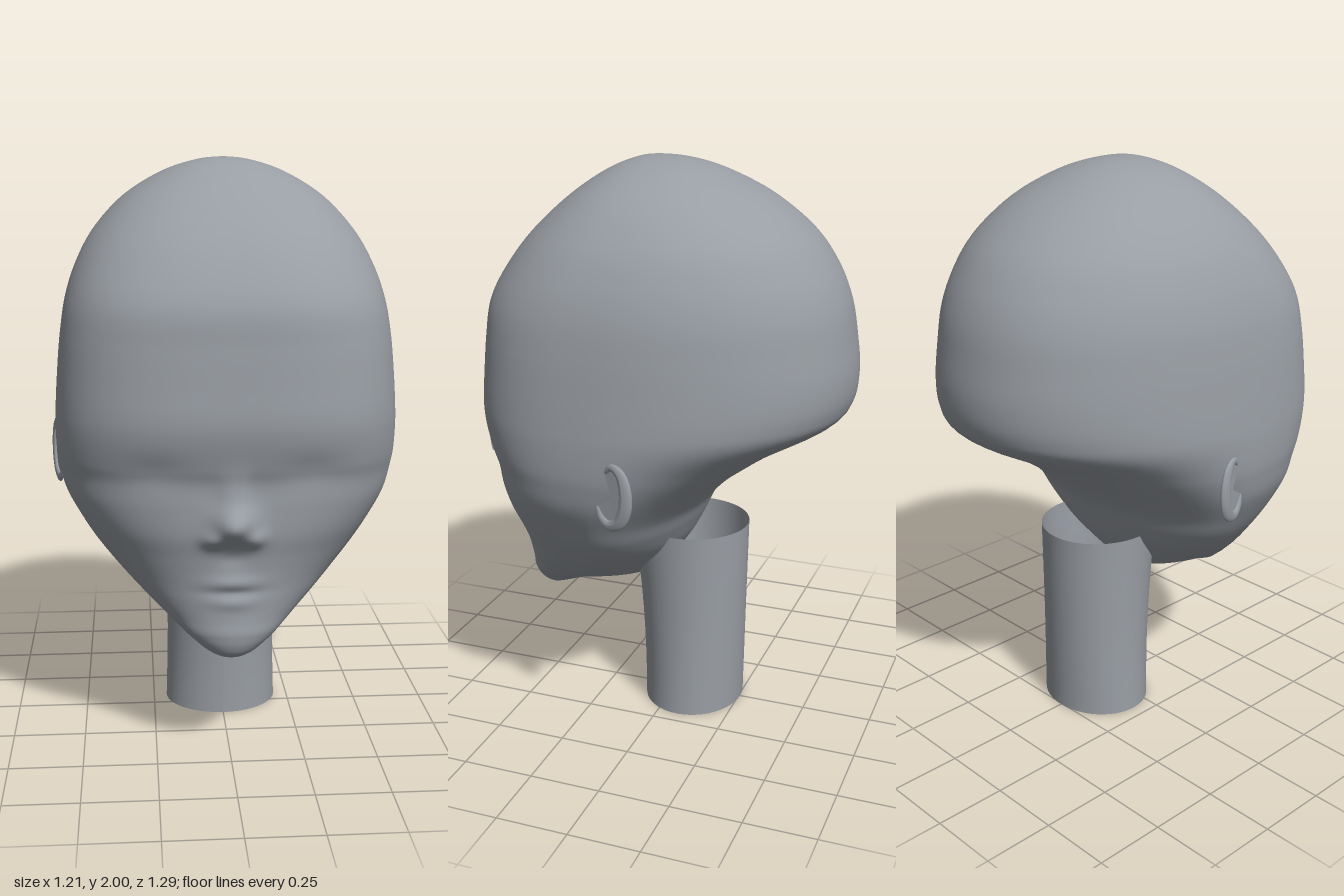
import * as THREE from 'three';

const clay = new THREE.MeshStandardMaterial({ color: 0x999ea4, side: THREE.DoubleSide });
clay.name = 'clay grey';

// Horizontal head sections: y, half width, front z, back z, z of the widest point
const SECTIONS = [
  [2.0, 0, 0.07, 0.07, 0.07], [1.99, 0.09, 0.14, -0.05, 0.06], [1.95, 0.21, 0.235, -0.18, 0.05],
  [1.87, 0.34, 0.35, -0.34, 0.05], [1.76, 0.442, 0.465, -0.48, 0.06], [1.65, 0.502, 0.545, -0.56, 0.08],
  [1.54, 0.538, 0.597, -0.607, 0.1], [1.42, 0.557, 0.61, -0.63, 0.12], [1.3, 0.568, 0.619, -0.643, 0.13],
  [1.2, 0.575, 0.625, -0.63, 0.13], [1.13, 0.578, 0.618, -0.58, 0.13], [1.04, 0.576, 0.595, -0.42, 0.13],
  [0.98, 0.568, 0.577, -0.33, 0.13], [0.9, 0.547, 0.575, -0.225, 0.14], [0.81, 0.5, 0.572, -0.14, 0.15],
  [0.73, 0.45, 0.558, -0.1, 0.16], [0.65, 0.383, 0.55, -0.06, 0.2], [0.58, 0.307, 0.55, -0.01, 0.28],
  [0.515, 0.228, 0.553, 0.05, 0.36], [0.48, 0.183, 0.557, 0.1, 0.41], [0.46, 0.16, 0.556, 0.22, 0.43],
  [0.43, 0.123, 0.55, 0.31, 0.45], [0.4, 0.085, 0.535, 0.4, 0.46], [0.38, 0.04, 0.51, 0.46, 0.48],
  [0.377, 0, 0.49, 0.49, 0.49],
];

// Soft bumps on the face: x, y, height, x spread, y spread (mirrored where x > 0)
const BUMPS = [
  [0, 0.855, 0.07, 0.062, 0.055],   // nose tip
  [0, 0.95, 0.02, 0.045, 0.07],     // nose bridge
  [0.07, 0.805, 0.022, 0.035, 0.03], // nostril wings
  [0, 0.735, -0.008, 0.05, 0.03],   // philtrum
  [0, 0.65, 0.012, 0.085, 0.024],   // upper lip
  [0, 0.617, -0.005, 0.09, 0.014],  // mouth line
  [0, 0.583, 0.009, 0.075, 0.024],  // lower lip
  [0.25, 1.03, -0.008, 0.1, 0.05],  // eye sockets
];

// Smooth section at parameter t along the list
function sectionAt(t) {
  const last = SECTIONS.length - 1;
  const i = Math.min(Math.floor(t), last - 1), f = t - i;
  const at = (k) => SECTIONS[Math.max(0, Math.min(last, k))];
  return at(i).map((p1, c) => {
    const p0 = at(i - 1)[c], p2 = at(i + 1)[c], p3 = at(i + 2)[c];
    return p1 + 0.5 * f * (p2 - p0 + f * (2 * p0 - 5 * p1 + 4 * p2 - p3 + f * (3 * (p1 - p2) + p3 - p0)));
  });
}

// Squareness of the sections: boxy at the temples, rounder at the jaw and crown
const { smoothstep } = THREE.MathUtils;
const frontPower = (y) => 2 + 0.8 * smoothstep(y, 0.45, 1.1) - 0.5 * smoothstep(y, 1.4, 1.95);
const backPower = (y) => 1.85 + 0.2 * smoothstep(y, 0.7, 1.2);

// Point on the head; angle 0 faces front and grows toward +x
function headPoint(section, angle) {
  const [y, w, zf, zb, zc] = section;
  const s = Math.sin(angle), c = Math.cos(angle);
  const e = 2 / (c > 0 ? frontPower(y) : backPower(y));
  const x = Math.max(w, 0) * Math.sign(s) * Math.abs(s) ** e;
  let z = zc + (c > 0 ? zf - zc : zb - zc) * Math.abs(c) ** e;
  if (c > 0) {
    for (const [bx, by, h, sx, sy] of BUMPS) {
      z += h * Math.exp(-(((Math.abs(x) - bx) / sx) ** 2) - ((y - by) / sy) ** 2);
    }
  }
  return [x, y, z];
}

function buildMesh(name, positions, index) {
  const geometry = new THREE.BufferGeometry();
  geometry.setAttribute('position', new THREE.Float32BufferAttribute(positions, 3));
  geometry.setIndex(index);
  geometry.computeVertexNormals();
  const mesh = new THREE.Mesh(geometry, clay);
  mesh.name = name;
  return mesh;
}

// Head: loft of the sections, columns crowded toward the face
function createHead() {
  const rows = (SECTIONS.length - 1) * 8, cols = 112;
  const positions = [], index = [];
  for (let i = 0; i <= rows; i++) {
    const section = sectionAt(i / 8);
    for (let j = 0; j < cols; j++) {
      const phi = (j / cols) * Math.PI * 2 - Math.PI;
      positions.push(...headPoint(section, phi - 0.7 * Math.sin(phi)));
    }
  }
  for (let i = 0; i < rows; i++) {
    for (let j = 0; j < cols; j++) {
      const k = (j + 1) % cols;
      const a = i * cols + j, b = a + cols, c = i * cols + k, d = c + cols;
      index.push(a, b, c, c, b, d);
    }
  }
  return buildMesh('head', positions, index);
}

// Eye: thin almond laid on the face
function createEye(side) {
  const nu = 16, nv = 4, positions = [], index = [];
  for (let i = 0; i <= nu; i++) {
    for (let j = 0; j <= nv; j++) {
      const u = i / nu;
      const x = 0.22 + 0.21 * u;
      const y = 1.037 + 0.031 * Math.sin(Math.PI * u) * ((2 * j) / nv - 1);
      let lo = 9, hi = 14;
      for (let n = 0; n < 30; n++) {
        const mid = (lo + hi) / 2;
        if (sectionAt(mid)[0] > y) lo = mid; else hi = mid;
      }
      const section = sectionAt(lo);
      const p = headPoint(section, Math.asin((x / section[1]) ** (frontPower(y) / 2)));
      positions.push(side * (p[0] + 0.002), p[1], p[2] + 0.004);
    }
  }
  for (let i = 0; i < nu; i++) {
    for (let j = 0; j < nv; j++) {
      const a = i * (nv + 1) + j, b = a + nv + 1;
      if (side > 0) index.push(a, b, a + 1, a + 1, b, b + 1);
      else index.push(a, a + 1, b, a + 1, b + 1, b);
    }
  }
  return buildMesh(side > 0 ? 'leftEye' : 'rightEye', positions, index);
}

// Ear: shallow bowl with a flat tapering rim, flared away from the head toward the back
function createEar(side) {
  const ear = new THREE.Group();
  ear.name = side > 0 ? 'leftEar' : 'rightEar';
  const outline = [[0.035, 1.06], [0.008, 1.086], [-0.025, 1.07], [-0.044, 1.02], [-0.042, 0.95],
    [-0.018, 0.9], [0.02, 0.885], [0.05, 0.905], [0.068, 0.945]];
  const flare = (z) => 0.573 + (0.03 - z) * 0.28;
  const path = new THREE.CatmullRomCurve3(outline.map(([z, y]) => new THREE.Vector3(side * flare(z), y, z)));

  const steps = 48, sides = 12;
  const rimGeometry = new THREE.TubeGeometry(path, steps, 0.023, sides);
  const p = rimGeometry.attributes.position;
  for (let i = 0; i < p.count; i++) {
    const u = Math.floor(i / (sides + 1)) / steps;
    const centre = path.getPointAt(u);
    const taper = Math.sqrt(Math.max(Math.sin(Math.PI * u), 0));
    p.setXYZ(i, centre.x + (p.getX(i) - centre.x) * taper * 0.45,
      centre.y + (p.getY(i) - centre.y) * taper, centre.z + (p.getZ(i) - centre.z) * taper);
  }
  rimGeometry.computeVertexNormals();
  const rim = new THREE.Mesh(rimGeometry, clay);
  rim.name = 'earRim';

  const pts = path.getPoints(30), positions = [side * flare(0.015), 0.98, 0.01], index = [];
  pts.forEach((q) => positions.push(q.x, q.y, q.z));
  for (let i = 1; i < pts.length; i++) {
    if (side > 0) index.push(0, i, i + 1); else index.push(0, i + 1, i);
  }
  ear.add(rim, buildMesh('earBowl', positions, index));
  return ear;
}

// Neck: open tube that leans and widens slightly toward the head
function createNeck() {
  const geometry = new THREE.CylinderGeometry(1, 1, 0.7, 48, 8, true);
  const p = geometry.attributes.position;
  for (let i = 0; i < p.count; i++) {
    const y = p.getY(i) + 0.35, t = y / 0.7;
    const waist = 0.203 - 0.007 * Math.sin(Math.PI * t);
    const front = 0.105 + 0.05 * t * t, back = -0.255 - 0.015 * t;
    p.setXYZ(i, p.getX(i) * waist, y, (front + back) / 2 + (p.getZ(i) * (front - back)) / 2);
  }
  geometry.computeVertexNormals();
  const neck = new THREE.Mesh(geometry, clay);
  neck.name = 'neck';
  return neck;
}

export function createModel() {
  const model = new THREE.Group();
  model.name = 'mannequinHead';
  model.add(createHead(), createNeck());
  for (const side of [1, -1]) model.add(createEye(side), createEar(side));
  return model;
}
